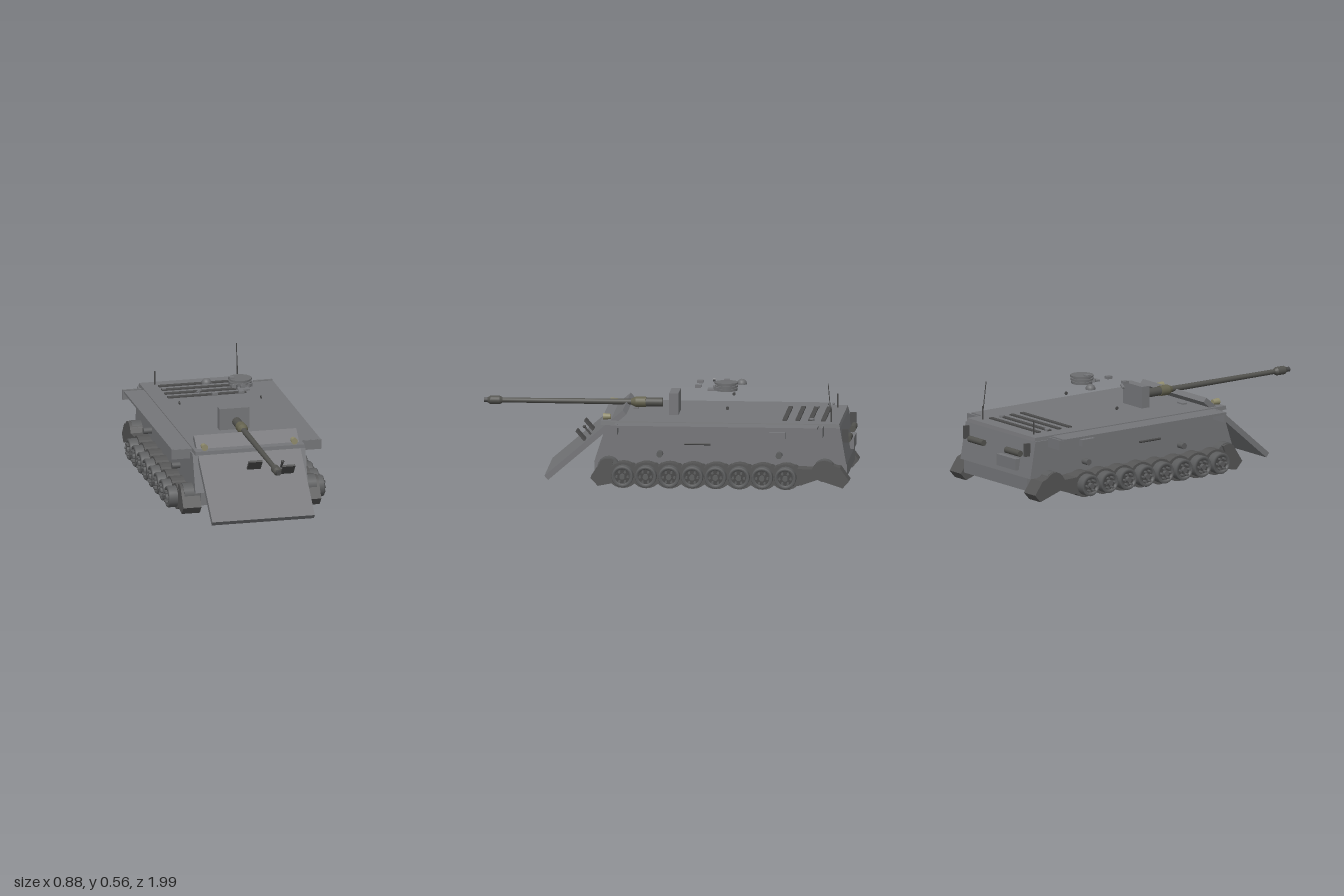
import * as THREE from 'three';

const flat = (color) => new THREE.MeshStandardMaterial({ color, flatShading: true, side: THREE.DoubleSide });
const round = (color) => new THREE.MeshStandardMaterial({ color });
const armour = flat(0x757679), armourRound = round(0x6c6d6f), trackMat = flat(0x555555);
const darkFlat = flat(0x4c4c4c), tyreMat = round(0x5c5d5e), darkRound = round(0x484848);
const gunMat = round(0x52524e), olive = round(0x65634f), lamp = round(0x8f8b6c);

export function createModel() {
  const model = new THREE.Group();

  const add = (name, geo, x = 0, y = 0, z = 0, mat = armour, parent = model) => {
    const m = new THREE.Mesh(geo, mat);
    m.name = name;
    m.position.set(x, y, z);
    parent.add(m);
    return m;
  };
  // Box given by its extents
  const box = (name, x0, x1, y0, y1, z0, z1, mat = armour, parent = model) =>
    add(name, new THREE.BoxGeometry(x1 - x0, y1 - y0, z1 - z0),
      (x0 + x1) / 2, (y0 + y1) / 2, (z0 + z1) / 2, mat, parent);
  // Cylinders along x and along z
  const cylX = (name, r, x0, x1, y, z, mat, seg = 20, parent = model) =>
    add(name, new THREE.CylinderGeometry(r, r, Math.abs(x1 - x0), seg).rotateZ(Math.PI / 2),
      (x0 + x1) / 2, y, z, mat, parent);
  const cylZ = (name, rBack, rFront, z0, z1, x, y, mat) =>
    add(name, new THREE.CylinderGeometry(rFront, rBack, z1 - z0, 20).rotateX(Math.PI / 2),
      x, y, (z0 + z1) / 2, mat);

  // Hull shell, open underneath: rectangular levels [y, half width, front z, rear z]
  const levels = [[0.35, 0.3, 0.35, -0.93], [0.33, 0.302, 0.352, -0.935], [0.33, 0.31, 0.32, -0.935],
    [0.13, 0.31, 0.385, -0.97], [0.13, 0.279, 0.385, -0.97], [0.06, 0.279, 0.385, -0.97]];
  const ring = ([y, w, f, b]) => [[w, y, f], [w, y, b], [-w, y, b], [-w, y, f]];
  const pos = [];
  const quad = (a, b, c, d) => pos.push(...a, ...b, ...c, ...a, ...c, ...d);
  quad(...ring(levels[0]));
  for (let i = 0; i < levels.length - 1; i++) {
    const t = ring(levels[i]), l = ring(levels[i + 1]);
    for (let k = 0; k < 4; k++) {
      const n = (k + 1) % 4;
      quad(t[k], l[k], l[n], t[n]);
    }
  }
  const hull = new THREE.BufferGeometry();
  hull.setAttribute('position', new THREE.Float32BufferAttribute(pos, 3));
  hull.computeVertexNormals();
  add('hull', hull);

  // Track outline (z, y), scalloped around every road wheel
  const wheelZ = Array.from({ length: 8 }, (_, i) => 0.225 - i * 0.125);
  const track = new THREE.Shape();
  track.moveTo(0.4, 0.055);
  track.lineTo(0.345, 0.14);
  track.absarc(0.305, 0.1, 0.06, 0.75, 2.1, false);
  const arcPoints = (z, y, from, to) => {
    for (let k = 0; k <= 6; k++) {
      const a = from + (to - from) * k / 6;
      track.lineTo(z + 0.09 * Math.cos(a), y + 0.09 * Math.sin(a));
    }
  };
  wheelZ.forEach((z) => arcPoints(z, 0.052, 0.82, Math.PI - 0.82));
  track.lineTo(-0.79, 0.115);
  track.absarc(-0.855, 0.1, 0.063, 0.7, 2.5, false);
  track.lineTo(-0.94, 0.125);
  track.lineTo(-0.99, 0.055);
  track.lineTo(-0.955, 0.015);
  track.lineTo(-0.82, 0.06);
  track.lineTo(-0.73, 0.028);
  [...wheelZ].reverse().forEach((z) => arcPoints(z, 0.092, Math.PI + 0.82, 2 * Math.PI - 0.82));
  track.lineTo(0.36, 0.012);
  const trackGeo = new THREE.ExtrudeGeometry(track, { depth: 0.1, bevelEnabled: false, curveSegments: 8 });
  trackGeo.rotateY(-Math.PI / 2);

  // Everything repeated on both sides
  for (const s of [1, -1]) {
    const side = new THREE.Group();
    side.name = s > 0 ? 'leftRunningGear' : 'rightRunningGear';
    model.add(side);
    add('track', trackGeo, s > 0 ? 0.38 : -0.28, 0, 0, trackMat, side);
    for (const z of wheelZ) {
      const wheel = new THREE.Group();
      wheel.name = 'roadWheel';
      side.add(wheel);
      // Dished wheel: tyre rim, recessed disc, hub and bolts
      const rim = new THREE.LatheGeometry([[0.058, 0.375], [0.058, 0.425], [0.055, 0.43], [0.04, 0.43], [0.04, 0.415]]
        .map(([r, h]) => new THREE.Vector2(r, h)), 20).rotateZ(-s * Math.PI / 2);
      add('tyre', rim, 0, 0.072, z, tyreMat, wheel);
      cylX('disc', 0.042, s * 0.375, s * 0.418, 0.072, z, darkRound, 20, wheel);
      cylX('hub', 0.015, s * 0.41, s * 0.437, 0.072, z, tyreMat, 12, wheel);
      for (let k = 0; k < 6; k++) {
        const a = k * Math.PI / 3;
        cylX('bolt', 0.007, s * 0.41, s * 0.44, 0.072 + 0.03 * Math.sin(a), z + 0.03 * Math.cos(a), tyreMat, 6, wheel);
      }
    }
    // Drive and idler drums, return rollers
    for (const z of [0.305, -0.855]) cylX('endWheel', 0.06, s * 0.281, s * 0.365, 0.105, z, tyreMat, 20, side);
    for (const z of [0.03, -0.61]) cylX('returnRoller', 0.017, s * 0.3, s * 0.355, 0.182, z, tyreMat, 14, side);

    // Side shelf, end flaps and side fittings
    add('sideShelf', new THREE.BoxGeometry(0.11, 0.012, 1.09), s * 0.355, 0.339, -0.275);
    add('frontFlap', new THREE.BoxGeometry(0.105, 0.055, 0.01), s * 0.36, 0.318, 0.26);
    add('rearFlap', new THREE.BoxGeometry(0.105, 0.055, 0.01), s * 0.36, 0.318, -0.845);
    add('sideBox', new THREE.BoxGeometry(0.035, 0.036, 0.085), s * 0.323, 0.288, -0.6);
    cylZ('sideBar', 0.006, 0.006, -0.24, -0.1, s * 0.315, 0.235, darkRound);

    // Headlights, roof and rear fittings
    cylZ('headlight', 0.014, 0.018, 0.3, 0.34, s * 0.247, 0.367, lamp);
    cylX('roofDisc', 0.009, s * 0.222, s * 0.228, 0.416, -0.325, darkRound, 12);
    cylX('exhaust', 0.017, s * 0.1, s * 0.225, 0.255, -0.972, gunMat);
    box('rearLamp', s * 0.27 - 0.008, s * 0.27 + 0.008, 0.248, 0.318, -0.978, -0.945, darkFlat);
    add('louvreBolt', new THREE.CylinderGeometry(0.014, 0.014, 0.015, 10), s * 0.2, 0.355, -0.775);
    add('periscope', new THREE.BoxGeometry(0.028, 0.015, 0.032), s * 0.073, 0.508, -0.155);
  }
  box('rearBox', -0.2, -0.03, 0.16, 0.222, -0.985, -0.94);

  // Splash board, one sloping slab through the bow
  const board = new THREE.Group();
  board.name = 'splashBoard';
  board.position.set(0, 0.215, 0.434);
  board.rotation.x = Math.atan2(0.36, 0.42);
  model.add(board);
  box('boardPlate', -0.282, 0.282, -0.015, 0.015, -0.277, 0.277, armour, board);
  // Two plates standing on it, with a short stalk
  box('boardPlateLeft', 0.145, 0.215, 0.0, 0.085, -0.008, 0.004, darkFlat, board);
  box('boardPlateRight', -0.033, 0.042, 0.0, 0.085, -0.05, -0.038, darkFlat, board);
  box('boardStalk', 0.15, 0.16, 0.0, 0.07, -0.045, -0.035, darkFlat, board);
  add('stalkKnob', new THREE.SphereGeometry(0.009, 10, 8), 0.155, 0.07, -0.04, darkRound, board);

  // Gun with mantlet, collar and muzzle brake
  box('mantlet', -0.083, 0.083, 0.35, 0.468, -0.05, 0);
  cylZ('gunBase', 0.024, 0.024, 0.04, 0.13, 0, 0.406, gunMat);
  cylZ('gunCollar', 0.028, 0.028, 0.13, 0.185, 0, 0.406, olive);
  cylZ('gunCollarTaper', 0.028, 0.016, 0.185, 0.21, 0, 0.406, olive);
  cylZ('barrel', 0.016, 0.013, 0.2, 0.92, 0, 0.406, gunMat);
  cylZ('muzzleBrakeTaper', 0.014, 0.023, 0.9, 0.915, 0, 0.406, gunMat);
  cylZ('muzzleBrake', 0.023, 0.023, 0.915, 0.965, 0, 0.406, gunMat);
  cylZ('muzzleNeck', 0.023, 0.014, 0.965, 0.98, 0, 0.406, gunMat);
  cylZ('muzzleTip', 0.013, 0.013, 0.98, 1, 0, 0.406, darkRound);

  // Commander's cupola: stacked discs with vision blocks and a hatch hinge
  const cupola = new THREE.Group();
  cupola.name = 'cupola';
  cupola.position.set(0.105, 0, -0.31);
  model.add(cupola);
  for (const [r, y0, y1] of [[0.058, 0.493, 0.506], [0.05, 0.506, 0.512], [0.062, 0.512, 0.522], [0.052, 0.522, 0.53], [0.063, 0.53, 0.538]])
    add('cupolaRing', new THREE.CylinderGeometry(r, r, y1 - y0, 24), 0, (y0 + y1) / 2, 0, armourRound, cupola);
  box('hatchHinge', -0.06, -0.035, 0.53, 0.546, -0.015, 0.015, armour, cupola);
  for (const a of [-0.7, 0, 0.7]) {
    const b = add('visionBlock', new THREE.BoxGeometry(0.026, 0.018, 0.02),
      0.062 * Math.sin(a), 0.508, 0.062 * Math.cos(a), armour, cupola);
    b.rotation.y = a;
  }
  box('cupolaStep', -0.03, 0.03, 0.493, 0.502, 0.05, 0.1, armour, cupola);

  // Ventilator dome and sight block
  add('dome', new THREE.SphereGeometry(0.027, 18, 8, 0, Math.PI * 2, 0, Math.PI / 2), -0.063, 0.5, -0.38, armourRound);
  add('domeBase', new THREE.CylinderGeometry(0.027, 0.027, 0.004, 18), -0.063, 0.5, -0.38);
  add('sightBlock', new THREE.BoxGeometry(0.026, 0.009, 0.014), -0.142, 0.507, -0.225).rotation.z = 0.6;
  box('roofBlock', -0.145, -0.095, 0.345, 0.358, 0.178, 0.205);

  // Engine deck louvres
  for (let i = 0; i < 4; i++)
    box('louvre', -0.215, 0.215, 0.345, 0.357, -0.85 + i * 0.069, -0.826 + i * 0.069, darkFlat);

  // Whip antenna
  const whip = new THREE.LineCurve3(new THREE.Vector3(0.231, 0.34, -0.885), new THREE.Vector3(0.221, 0.557, -0.865));
  add('antenna', new THREE.TubeGeometry(whip, 1, 0.0025, 6), 0, 0, 0, darkRound);
  add('antennaBase', new THREE.CylinderGeometry(0.005, 0.005, 0.08, 8), 0.229, 0.382, -0.882, darkRound);
  // Short post on the other side of the roof
  add('roofPost', new THREE.CylinderGeometry(0.004, 0.004, 0.08, 8), -0.226, 0.385, -0.882, darkRound);

  return model;
}
